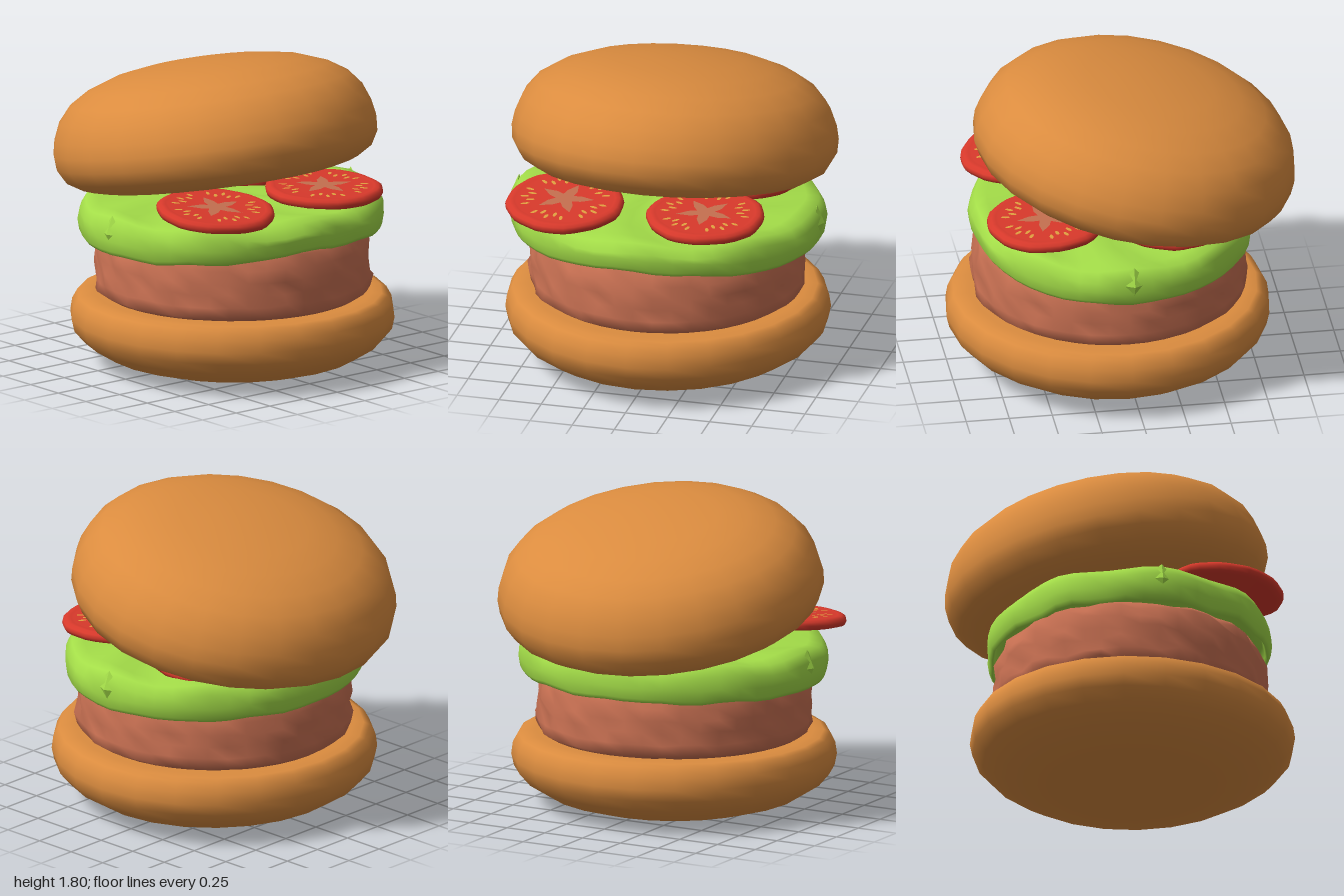
import * as THREE from 'three';
import { mergeVertices } from 'three/addons/utils/BufferGeometryUtils.js';

const material = (name, color, side = THREE.FrontSide) => {
  const m = new THREE.MeshStandardMaterial({ color, side });
  m.name = name;
  return m;
};

// Lathe with a rule that shifts each point: rule(angle, radius, y) -> [radius, y]
function turned(profile, segments, rule) {
  const points = profile.map(([r, y]) => new THREE.Vector2(r, y));
  let geo = new THREE.LatheGeometry(points, segments);
  const p = geo.attributes.position;
  for (let i = 0; i < p.count; i++) {
    const x = p.getX(i), y = p.getY(i), z = p.getZ(i);
    const a = Math.atan2(z, x), r = Math.hypot(x, z);
    if (r < 1e-5) { p.setXYZ(i, 0, y, 0); continue; }
    const [nr, ny] = rule(a, r, y);
    p.setXYZ(i, Math.cos(a) * nr, ny, Math.sin(a) * nr);
  }
  geo.deleteAttribute('uv');
  geo.deleteAttribute('normal');
  geo = mergeVertices(geo, 1e-4);
  geo.computeVertexNormals();
  return geo;
}

export function createModel() {
  const burger = new THREE.Group();
  burger.name = 'burger';
  const bunMat = material('bun brown', 0xdb8c3f);
  const pattyMat = material('patty brown', 0xc87052);
  const lettuceMat = material('lettuce green', 0xa3dc48);
  const tomatoMat = material('tomato red', 0xd8392b);
  const coreMat = material('tomato core', 0xc46f4f, THREE.DoubleSide);
  const seedMat = material('seed yellow', 0xe0a040, THREE.DoubleSide);

  const add = (parent, name, geo, mat, x = 0, y = 0, z = 0) => {
    const mesh = new THREE.Mesh(geo, mat);
    mesh.name = name;
    mesh.position.set(x, y, z);
    parent.add(mesh);
    return mesh;
  };

  // Buns, very slightly uneven
  const bunRule = (a, r, y) => [r * (1 + 0.005 * Math.sin(3 * a + 4 * y)), y];
  add(burger, 'bottomBun', turned([
    [0, 0], [0.4, 0.003], [0.58, 0.018], [0.74, 0.065], [0.86, 0.14], [0.92, 0.21], [0.935, 0.28],
    [0.925, 0.35], [0.895, 0.405], [0.86, 0.42], [0.8, 0.424], [0, 0.424],
  ], 24, bunRule), bunMat, 0.06);
  const topBun = add(burger, 'topBun', turned([
    [0, 0], [0.5, -0.005], [0.7, 0], [0.8, 0.025], [0.89, 0.08], [0.935, 0.16], [0.94, 0.24], [0.925, 0.32],
    [0.885, 0.42], [0.81, 0.51], [0.7, 0.58], [0.55, 0.635], [0.38, 0.665], [0.2, 0.683], [0, 0.69],
  ], 24, bunRule), bunMat, -0.05, 1.07);
  topBun.rotation.z = 0.2;

  // Patty with a coarse, lumpy side
  add(burger, 'patty', turned([
    [0, 0.42], [0.74, 0.42], [0.785, 0.45], [0.79, 0.51], [0.78, 0.58],
    [0.785, 0.65], [0.77, 0.72], [0.75, 0.79], [0.71, 0.83], [0, 0.85],
  ], 44, (a, r, y) => {
    const lump = 0.010 * Math.sin(11 * a + 23 * y) + 0.009 * Math.sin(17 * a - 31 * y) + 0.006 * Math.sin(5 * a + 50 * y);
    return [r + (r > 0.5 ? lump : 0), y + (r > 0.73 ? lump * 0.6 : 0)];
  }), pattyMat, 0.055);

  // Lettuce leaf draped over the patty, its rim lifted at the two sides
  const lettuce = new THREE.Group();
  lettuce.name = 'lettuce';
  burger.add(lettuce);
  const leaf = add(lettuce, 'lettuceLeaf', turned([
    [0, 0.86], [0.78, 0.88], [0.85, 0.85], [0.87, 0.79], [0.885, 0.765], [0.905, 0.79], [0.915, 0.85],
    [0.91, 0.92], [0.875, 0.975], [0.8, 0.99], [0.62, 0.985], [0.42, 1.005], [0.2, 1.0], [0, 1.01],
  ], 48, (a, r, y) => {
    const wave = Math.sin(9 * a) * 0.5 + Math.sin(14 * a + 1) * 0.5;
    if (y < 0.9) {
      const lift = r > 0.8 ? 0.045 * Math.pow(Math.max(0, Math.cos(a)), 6) + 0.012 * wave : 0;
      return [r + (r > 0.8 ? 0.012 * wave : 0), y + lift];
    }
    return [r, y + 0.014 * Math.sin(8 * a + 9 * r) * Math.min(1, r * 2)];
  }), lettuceMat, 0.045);
  leaf.scale.x = 0.89;
  // Folded tips at front and back
  for (const s of [1, -1]) {
    add(lettuce, 'lettuceFold', new THREE.OctahedronGeometry(1), lettuceMat, 0.045, 0.895, s * 0.885)
      .scale.set(0.095, 0.105, 0.045);
  }

  // Tomato slice: lobed disc, star-shaped core and rings of seeds
  const sliceGeo = turned([
    [0, -0.03], [0.3, -0.03], [0.33, -0.022], [0.34, 0], [0.335, 0.02], [0.315, 0.032],
    [0.29, 0.032], [0.275, 0.027], [0, 0.027],
  ], 36, (a, r, y) => [r * (1 + 0.012 * Math.sin(5 * a) + 0.008 * Math.sin(12 * a)), y]);
  const star = new THREE.Shape();
  for (let i = 0; i < 20; i++) {
    const a = (i / 20) * Math.PI * 2;
    const r = [0.17, 0.1, 0.055, 0.1][i % 4];
    if (i) star.lineTo(Math.cos(a) * r, Math.sin(a) * r);
    else star.moveTo(r, 0);
  }
  star.closePath();
  const coreGeo = new THREE.ShapeGeometry(star).rotateX(-Math.PI / 2);
  const seedGeo = new THREE.CircleGeometry(1, 8).scale(0.026, 0.011, 1).rotateX(-Math.PI / 2);

  [
    ['frontTomato', 0.5, 1.05, 0.49, -0.1, 0.4],
    ['backTomato', 0.47, 1.04, -0.335, -0.04, 1.3],
    ['innerTomato', -0.24, 1.005, -0.36, 0.06, 2.2],
  ].forEach(([name, x, y, z, tilt, turn]) => {
    const tomato = new THREE.Group();
    tomato.name = name;
    tomato.position.set(x, y, z);
    tomato.rotation.set(0, 0, tilt);
    const slice = new THREE.Group();
    slice.name = 'slice';
    slice.rotation.y = turn;
    tomato.add(slice);
    add(slice, 'tomatoFlesh', sliceGeo, tomatoMat);
    add(slice, 'tomatoCore', coreGeo, coreMat, 0, 0.031);
    for (let lobe = 0; lobe < 5; lobe++) {
      for (let k = -2; k <= 2; k++) {
        const a = ((lobe + 0.5) / 5) * Math.PI * 2 + k * 0.19;
        const r = k % 2 ? 0.2 : 0.235;
        add(slice, 'tomatoSeed', seedGeo, seedMat, Math.cos(a) * r, 0.031, -Math.sin(a) * r).rotation.y = a;
      }
    }
    burger.add(tomato);
  });

  return burger;
}
